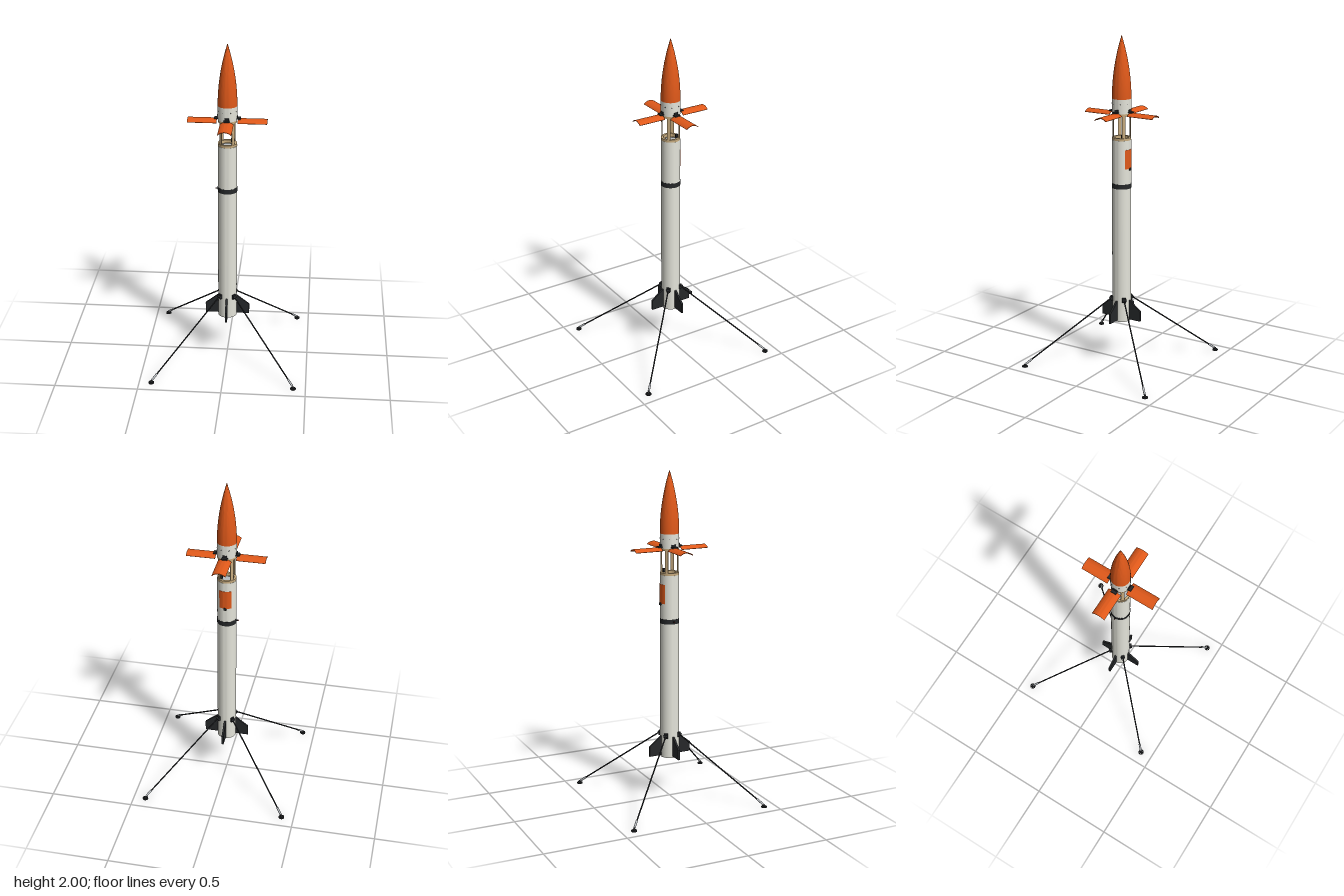
import * as THREE from 'three';
import { toCreasedNormals } from 'three/addons/utils/BufferGeometryUtils.js';

const mat = (color) => new THREE.MeshStandardMaterial({ color, side: THREE.DoubleSide });
const V = (x, y, z) => new THREE.Vector3(x, y, z);

export function createModel() {
  const model = new THREE.Group();
  const white = mat(0xe4e4da), orange = mat(0xe0591a), black = mat(0x26282a);
  const tan = mat(0xc9ad80), silver = mat(0xb8bcc0), red = mat(0xb02a20);
  const R = 0.057;

  function add(name, geometry, material, parent = model, x = 0, y = 0, z = 0) {
    const m = new THREE.Mesh(geometry, material);
    m.name = name;
    m.position.set(x, y, z);
    parent.add(m);
    return m;
  }
  const lathe = (pts) => toCreasedNormals(
    new THREE.LatheGeometry(pts.map(([r, y]) => new THREE.Vector2(r, y)), 48), 0.6);

  // straight round bar between two points
  function bar(name, a, b, r, material, parent) {
    const d = b.clone().sub(a);
    const m = add(name, new THREE.CylinderGeometry(r, r, d.length(), 12), material, parent);
    m.position.copy(a).addScaledVector(d, 0.5);
    m.quaternion.setFromUnitVectors(V(0, 1, 0), d.normalize());
    return m;
  }

  // curved shell panel, centred on +y and extruded along +z
  function shell(r0, r1, half, depth) {
    const s = new THREE.Shape();
    s.absarc(0, 0, r1, Math.PI / 2 - half, Math.PI / 2 + half, false);
    s.absarc(0, 0, r0, Math.PI / 2 + half, Math.PI / 2 - half, true);
    return toCreasedNormals(
      new THREE.ExtrudeGeometry(s, { depth, bevelEnabled: false, curveSegments: 16 }), 0.6);
  }

  // body tube, open at both ends, with its band
  add('bodyTube', lathe([[R - 0.004, 0.26], [R, 0.26], [R, 1.385], [R - 0.004, 1.385], [R - 0.004, 0.26]]), white);
  add('band', lathe([[R, 1.093], [R + 0.001, 1.093], [R + 0.001, 1.122], [R, 1.122]]), black);
  const plug = add('bandPlug', new THREE.CylinderGeometry(0.004, 0.004, 0.012, 12), black, model, -R - 0.005, 1.108, 0);
  plug.rotation.z = Math.PI / 2;
  const tip = add('bandPlugTip', new THREE.ConeGeometry(0.004, 0.007, 12), red, model, -R - 0.0135, 1.108, 0);
  tip.rotation.z = Math.PI / 2;

  // hatch on the back with its latch
  const hatch = add('hatch', shell(R, R + 0.0015, 0.66, 0.115), orange, model, 0, 1.33, 0);
  hatch.rotation.x = Math.PI / 2;
  hatch.scale.y = -1;
  add('hatchLatch', new THREE.BoxGeometry(0.016, 0.014, 0.008), black, model, 0, 1.212, -R - 0.003);

  // engine bay
  add('enginePlate', new THREE.CylinderGeometry(R - 0.004, R - 0.004, 0.006, 40), black, model, 0, 0.29, 0);
  for (let i = 0; i < 4; i++) {
    const a = Math.PI / 4 + i * Math.PI / 2;
    add('nozzle', new THREE.CylinderGeometry(0.008, 0.015, 0.028, 20, 1, true), silver, model,
      0.028 * Math.cos(a), 0.274, 0.028 * Math.sin(a));
  }

  // parachute bay: end rings, floor and latch
  const ring = (y0, y1, ri, ro) => lathe([[ri, y0], [ro, y0], [ro, y1], [ri, y1], [ri, y0]]);
  add('lowerBayRing', ring(1.38, 1.4, 0.042, 0.056), tan);
  add('upperBayRing', ring(1.532, 1.545, 0.036, 0.056), tan);
  add('bayFloor', new THREE.CylinderGeometry(0.043, 0.043, 0.004, 40), silver, model, 0, 1.375, 0);
  add('bayCeiling', new THREE.CylinderGeometry(0.052, 0.052, 0.004, 40), silver, model, 0, 1.548, 0);
  add('bayLatch', new THREE.BoxGeometry(0.014, 0.022, 0.014), black, model, 0.027, 1.408, -0.024);

  // nose collar and ogive nose cone
  add('noseCollar', lathe([[R - 0.003, 1.545], [R, 1.545], [R, 1.63]]), white);
  const profile = [];
  for (let i = 0; i <= 20; i++) {
    const t = i / 20;
    profile.push([R * (1 - t * t), 1.63 + 0.37 * t]);
  }
  add('noseCone', lathe(profile), orange);

  // foot pad with a ring of holes
  const pad = new THREE.Shape().absarc(0, 0, 0.017, 0, Math.PI * 2);
  for (let i = 0; i < 6; i++) {
    const a = i * Math.PI / 3;
    pad.holes.push(new THREE.Path().absarc(0.0115 * Math.cos(a), 0.0115 * Math.sin(a), 0.003, 0, Math.PI * 2, true));
  }
  const padGeo = new THREE.ExtrudeGeometry(pad, { depth: 0.007, bevelEnabled: false, curveSegments: 12 });
  padGeo.rotateX(-Math.PI / 2);

  // swept fin outline: radius against height
  const fin = new THREE.Shape([[0.054, 0.27], [0.135, 0.27], [0.135, 0.332], [0.054, 0.395]]
    .map((p) => new THREE.Vector2(...p)));
  const finGeo = new THREE.ExtrudeGeometry(fin, { depth: 0.012, bevelEnabled: false });
  finGeo.translate(0, 0, -0.006).rotateY(-Math.PI / 2);
  const petalGeo = shell(R - 0.003, R, 0.78, 0.171);

  for (let i = 0; i < 4; i++) {
    // straight quarter: fin, open petal and its hinge
    const side = new THREE.Group();
    side.name = 'finAndPetal';
    side.rotation.y = i * Math.PI / 2;
    model.add(side);
    add('fin', finGeo, black, side);
    add('petal', petalGeo, orange, side, 0, 1.55 - R, 0.061);
    add('petalHinge', new THREE.BoxGeometry(0.034, 0.007, 0.024), black, side, 0, 1.553, 0.065);
    add('hingeBracket', new THREE.BoxGeometry(0.024, 0.018, 0.006), black, side, 0, 1.56, 0.058);
    for (const s of [-1, 1]) {
      const a = s * 0.42;
      const screw = add('collarScrew', new THREE.SphereGeometry(0.0025, 10, 8), black, side,
        R * Math.sin(a), 1.6, R * Math.cos(a));
      screw.scale.y = 1;
    }

    // diagonal quarter: bay stringer and landing leg
    const leg = new THREE.Group();
    leg.name = 'stringerAndLeg';
    leg.rotation.y = Math.PI / 4 + i * Math.PI / 2;
    model.add(leg);
    add('bayStringer', new THREE.BoxGeometry(0.02, 0.15, 0.004), tan, leg, 0, 1.463, 0.051);
    const top = V(0, 0.4, 0.066), ankle = V(0, 0.015, 0.602);
    const at = (t) => top.clone().lerp(ankle, t);
    add('legMount', new THREE.BoxGeometry(0.022, 0.03, 0.012), black, leg, 0, 0.4, 0.06);
    const pin = add('legPin', new THREE.CylinderGeometry(0.007, 0.007, 0.026, 12), black, leg, 0, 0.4, 0.068);
    pin.rotation.z = Math.PI / 2;
    bar('legRod', top, at(0.93), 0.0042, black, leg);
    bar('legSleeve', at(0.92), at(0.99), 0.0065, silver, leg);
    add('ankle', new THREE.SphereGeometry(0.0075, 14, 10), black, leg, 0, 0.012, 0.603);
    add('footPad', padGeo, black, leg, 0, 0, 0.603);
  }
  return model;
}
